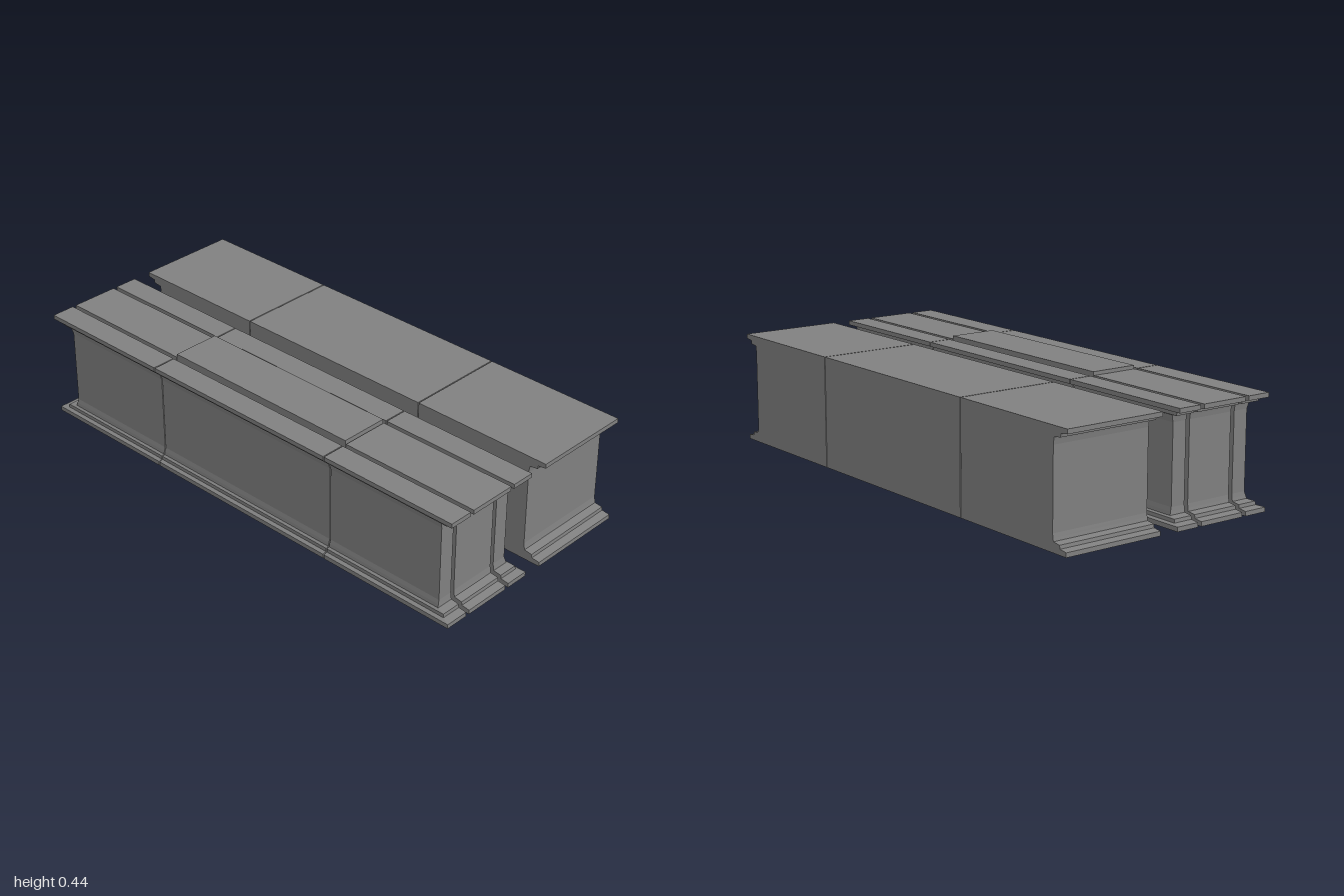
import * as THREE from 'three';

const HEIGHT = 0.425;
// Moulding steps: [y, inset on the long sides, inset on the ends]
const PROFILE = [
  [0, 0, 0], [0.017, 0, 0], [0.021, 0.015, 0.032], [0.034, 0.016, 0.034],
  [0.038, 0.026, 0.066], [0.05, 0.029, 0.068], [0.065, 0.034, 0.07],
  [0.36, 0.034, 0.07], [0.375, 0.029, 0.068], [0.387, 0.026, 0.066],
  [0.391, 0.016, 0.034], [0.404, 0.015, 0.032], [0.408, 0, 0], [HEIGHT, 0, 0],
];
const PLAIN = [[0, 0, 0], [HEIGHT, 0, 0]];

// Stacks rectangles by the profile; sx and sz (-1, 0, 1) pick the moulded sides
function mouldedBlock([x0, x1], [z0, z1], sx, sz) {
  const rings = (sx || sz ? PROFILE : PLAIN).map(([y, ix, iz]) => {
    const a = x0 + (sx < 0 ? ix : 0), b = x1 - (sx > 0 ? ix : 0);
    const c = z0 + (sz < 0 ? iz : 0), d = z1 - (sz > 0 ? iz : 0);
    return [[a, y, d], [b, y, d], [b, y, c], [a, y, c]];
  });
  const pos = [];
  const quad = (a, b, c, d) => pos.push(...a, ...b, ...c, ...a, ...c, ...d);
  for (let i = 0; i < rings.length - 1; i++) {
    const lo = rings[i], hi = rings[i + 1];
    for (let k = 0; k < 4; k++) {
      const n = (k + 1) % 4;
      quad(lo[k], lo[n], hi[n], hi[k]);
    }
  }
  quad(...rings[rings.length - 1]);
  quad(...[...rings[0]].reverse());
  const geo = new THREE.BufferGeometry();
  geo.setAttribute('position', new THREE.Float32BufferAttribute(pos, 3));
  geo.computeVertexNormals();
  return geo;
}

export function createModel() {
  const model = new THREE.Group();
  model.name = 'plinthBlocks';
  const material = new THREE.MeshStandardMaterial({ color: 0x808080, flatShading: true });

  const rows = [
    { name: 'Back', z: [-1, -0.429], side: -1 },
    { name: 'Middle', z: [-0.425, 0.425], side: 0 },
    { name: 'Front', z: [0.429, 1], side: 1 },
  ];
  const columns = [
    { name: 'rightStrip', x: [-0.445, -0.351], side: -1 },
    { name: 'centreStrip', x: [-0.335, -0.144], side: 0 },
    { name: 'leftStrip', x: [-0.128, -0.035], side: 1 },
    { name: 'wideBlock', x: [0.04, 0.445], side: 0 },
  ];

  for (const col of columns) {
    const group = new THREE.Group();
    group.name = col.name;
    for (const row of rows) {
      const mesh = new THREE.Mesh(mouldedBlock(col.x, row.z, col.side, row.side), material);
      mesh.name = col.name + row.name;
      // The core of the split plinth sits slightly proud of its neighbours
      if (col.name === 'centreStrip' && row.side === 0) mesh.position.y = 0.013;
      group.add(mesh);
    }
    model.add(group);
  }
  return model;
}
